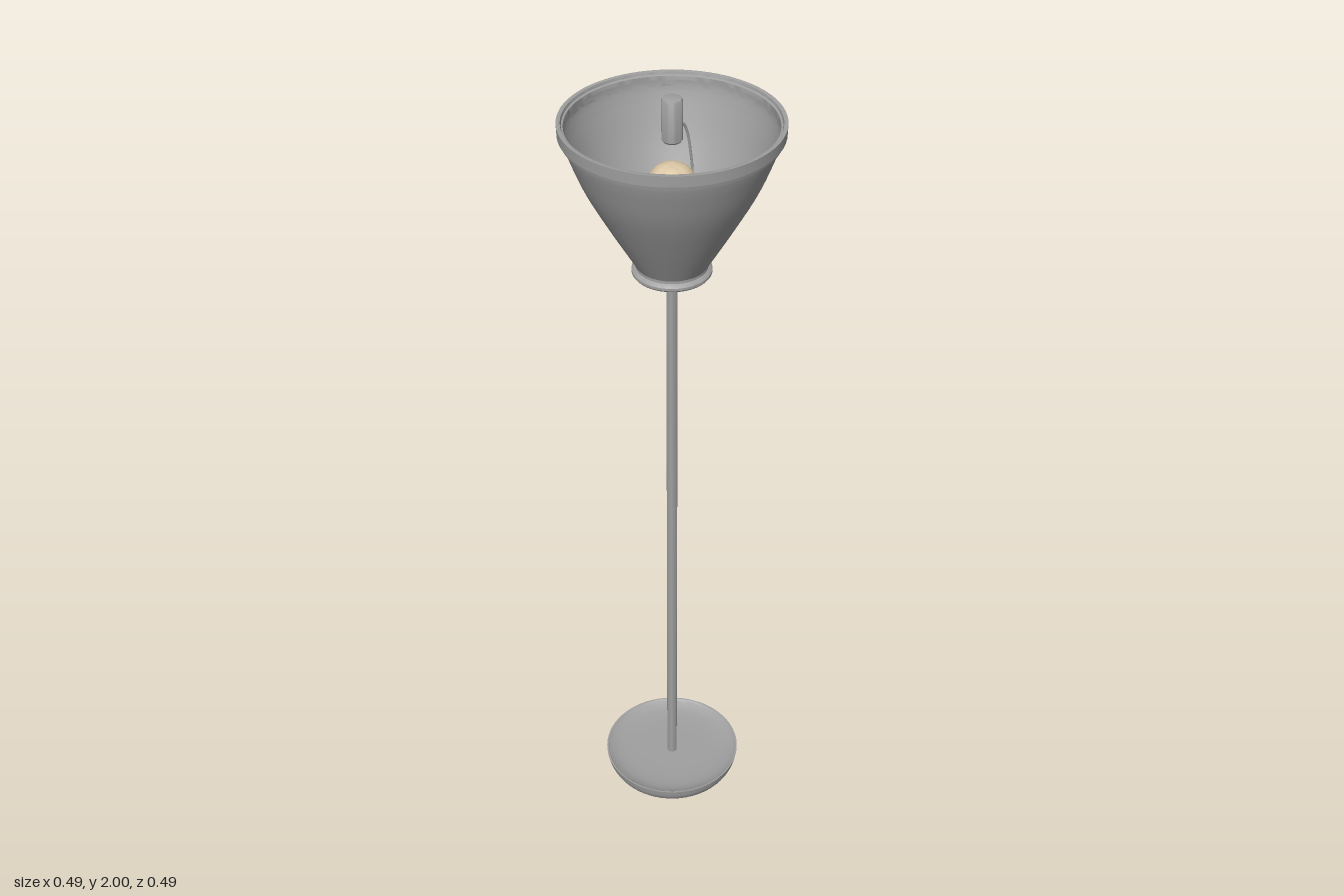
import * as THREE from 'three';
import { toCreasedNormals } from 'three/addons/utils/BufferGeometryUtils.js';

const metal = new THREE.MeshStandardMaterial({ color: 0xa0a0a0 });
metal.name = 'grey metal';
const glass = new THREE.MeshStandardMaterial({ color: 0xdcc8a6 });
glass.name = 'warm bulb glass';

// Turned part from [radius, height] pairs, running up the outside and down the inside
function turned(name, profile, material, segments = 64) {
  const points = profile.map(([r, y]) => new THREE.Vector2(r, y));
  const geometry = toCreasedNormals(new THREE.LatheGeometry(points, segments), 0.6);
  const mesh = new THREE.Mesh(geometry, material);
  mesh.name = name;
  return mesh;
}

// Smooth wall between a few [radius, height] pairs
function smooth(pairs, count) {
  const curve = new THREE.SplineCurve(pairs.map(([r, y]) => new THREE.Vector2(r, y)));
  return curve.getPoints(count).map((p) => [p.x, p.y]);
}

export function createModel() {
  const lamp = new THREE.Group();
  lamp.name = 'floorLamp';

  // Shallow dish base with a rounded underside
  lamp.add(turned('base', [
    [0, 0], [0.135, 0],
    ...smooth([[0.14, 0.001], [0.162, 0.012], [0.174, 0.032], [0.179, 0.055]], 10),
    [0.175, 0.055],
    ...smooth([[0.172, 0.052], [0.15, 0.043], [0.11, 0.038], [0.05, 0.037]], 8),
    [0, 0.037],
  ], metal));

  // Upright pole
  lamp.add(turned('pole', [[0, 0.02], [0.013, 0.02], [0.013, 1.59], [0, 1.59]], metal, 24));

  // Flared shade, open at the top and closed by a floor
  const wall = [[0.081, 1.597], [0.14, 1.7], [0.193, 1.8], [0.225, 1.88], [0.236, 1.915]];
  const inner = wall.map(([r, y]) => [r - 0.004, y]).reverse();
  lamp.add(turned('shade', [
    ...smooth(wall, 20), [0.236, 1.93], [0.232, 1.93], ...smooth(inner, 20),
  ], metal, 96));
  lamp.add(turned('shadeFloor', [
    [0, 1.575], [0.088, 1.575], [0.091, 1.579], [0.091, 1.585], [0.088, 1.589],
    [0.082, 1.592], [0.082, 1.6], [0, 1.6],
  ], metal));

  // Rolled rim with a thin bead beneath it
  lamp.add(turned('shadeRim', [
    [0.234, 1.911], [0.24, 1.911], [0.242, 1.92], [0.246, 1.922], [0.247, 1.948],
    [0.238, 1.948], [0.236, 1.942], [0.232, 1.94], [0.232, 1.911], [0.234, 1.911],
  ], metal, 96));

  // Socket and bulb
  lamp.add(turned('socket', [[0, 1.6], [0.026, 1.6], [0.026, 1.69], [0, 1.69]], metal, 32));
  lamp.add(turned('bulb', smooth([
    [0, 1.685], [0.024, 1.69], [0.034, 1.72], [0.05, 1.757], [0.055, 1.79],
    [0.048, 1.82], [0.028, 1.838], [0, 1.845],
  ], 32), glass, 40));

  // Finial above the bulb, with softened ends
  lamp.add(turned('finial', [
    [0, 1.9], [0.02, 1.9], [0.023, 1.904], [0.023, 1.995], [0.021, 1.999], [0.018, 2], [0, 2],
  ], metal, 32));

  // Bent wire carrying the finial around the bulb
  const path = new THREE.CatmullRomCurve3([
    [0.01, 1.935], [0.03, 1.932], [0.042, 1.91], [0.054, 1.85], [0.059, 1.79], [0.05, 1.72], [0.024, 1.66],
  ].map(([x, y]) => new THREE.Vector3(x, y, 0)));
  const wire = new THREE.Mesh(new THREE.TubeGeometry(path, 48, 0.003, 10), metal);
  wire.name = 'finialWire';
  lamp.add(wire);

  return lamp;
}
